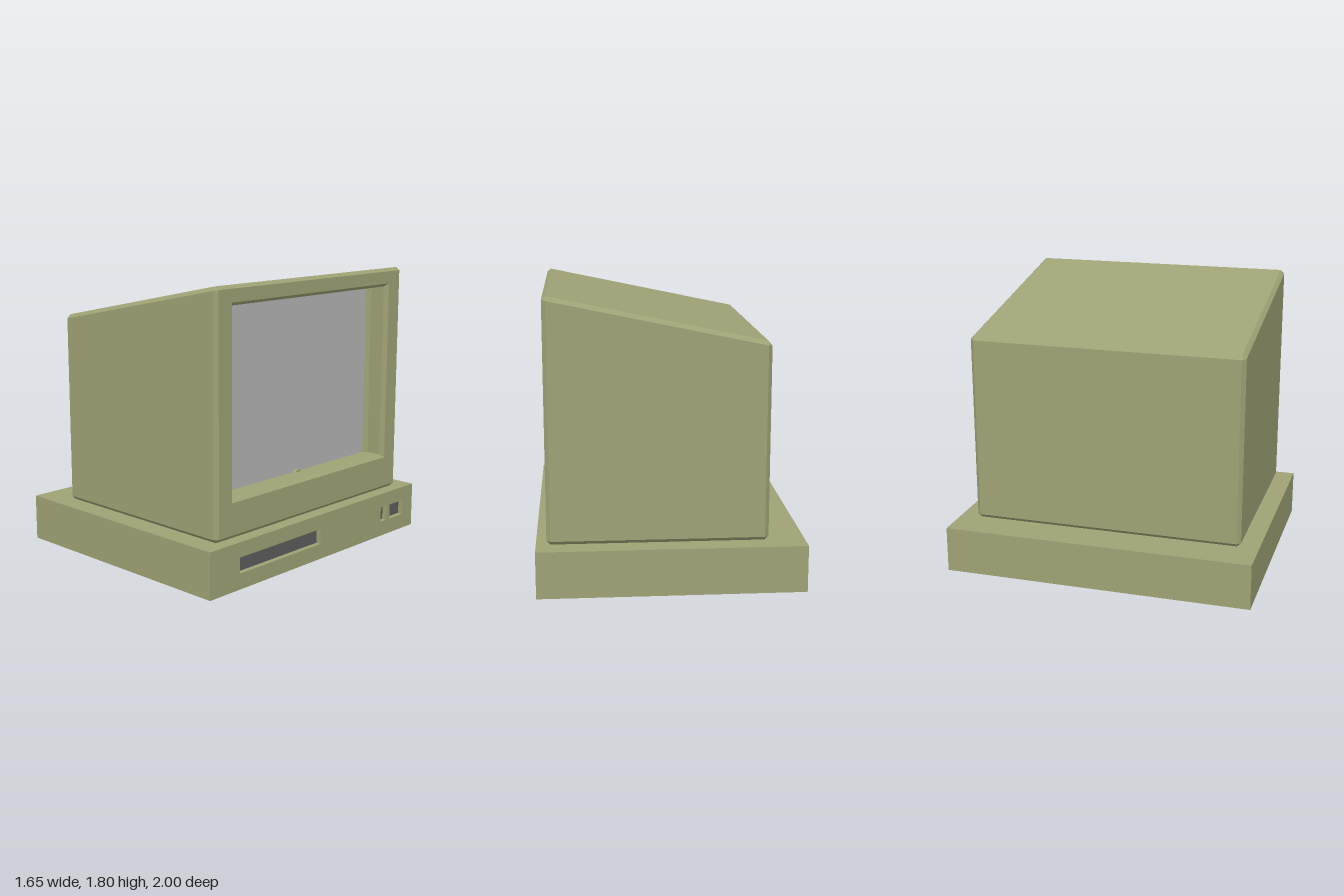
import * as THREE from 'three';
import { ConvexGeometry } from 'three/addons/geometries/ConvexGeometry.js';

const casing = new THREE.MeshStandardMaterial({ name: 'olive casing', color: 0x9fa275 });
const glass = new THREE.MeshStandardMaterial({ name: 'grey screen', color: 0xb3b3b3 });
const dark = new THREE.MeshStandardMaterial({ name: 'dark slot', color: 0x5d5d5d });

// Corners of a rectangle, counter-clockwise
const rect = (x0, x1, y0, y1) => [[x0, y0], [x1, y0], [x1, y1], [x0, y1]].map(p => new THREE.Vector2(...p));

function add(parent, name, geometry, material) {
  const mesh = new THREE.Mesh(geometry, material);
  mesh.name = name;
  parent.add(mesh);
  return mesh;
}

// Wedge with chamfered edges, left open on the +x face for the bezel
function shellGeometry(profile, halfZ, c) {
  const points = [];
  profile.forEach((p, i) => {
    const n = profile.length;
    const d1 = profile[(i + n - 1) % n].clone().sub(p).setLength(c);
    const d2 = profile[(i + 1) % n].clone().sub(p).setLength(c);
    for (const s of [-1, 1]) {
      points.push(new THREE.Vector3(p.x + d1.x, p.y + d1.y, s * (halfZ - c)));
      points.push(new THREE.Vector3(p.x + d2.x, p.y + d2.y, s * (halfZ - c)));
      points.push(new THREE.Vector3(p.x + d1.x + d2.x, p.y + d1.y + d2.y, s * halfZ));
    }
  });
  const hull = new ConvexGeometry(points);
  const pos = hull.attributes.position, nor = hull.attributes.normal, kept = [];
  for (let i = 0; i < pos.count; i += 3) {
    if (nor.getX(i) > 0.99) continue;
    for (let k = i; k < i + 3; k++) kept.push(pos.getX(k), pos.getY(k), pos.getZ(k));
  }
  const g = new THREE.BufferGeometry();
  g.setAttribute('position', new THREE.Float32BufferAttribute(kept, 3));
  g.computeVertexNormals();
  return g;
}

// Stepped walls running back from the bezel opening: steps are [depth, side inset, top and bottom inset]
function recessGeometry(x, y0, y1, steps) {
  const rings = steps.map(([z, ix, iy]) =>
    rect(-x + ix, x - ix, y0 + iy, y1 - iy).map(p => [p.x, p.y, z]));
  const v = [];
  for (let r = 0; r < rings.length - 1; r++) {
    for (let i = 0; i < 4; i++) {
      const j = (i + 1) % 4, a = rings[r], b = rings[r + 1];
      v.push(...a[i], ...a[j], ...b[j], ...a[i], ...b[j], ...b[i]);
    }
  }
  const g = new THREE.BufferGeometry();
  g.setAttribute('position', new THREE.Float32BufferAttribute(v, 3));
  g.computeVertexNormals();
  return g;
}

export function createModel() {
  const model = new THREE.Group();
  model.name = 'desktopComputer';

  // Parts on the screen side are drawn facing +z, then turned to face +x
  const screenSide = new THREE.Group();
  screenSide.name = 'screenSide';
  screenSide.rotation.y = Math.PI / 2;
  model.add(screenSide);

  // Monitor casing with a sloping top
  const profile = [[-0.6, 0.295], [0.76, 0.295], [0.76, 1.81], [-0.6, 1.525]].map(p => new THREE.Vector2(...p));
  add(model, 'monitorCasing', shellGeometry(profile, 0.885, 0.025), casing);

  // Bezel, recess and screen
  const bezel = new THREE.Shape(rect(-0.86, 0.86, 0.32, 1.785));
  bezel.holes.push(new THREE.Path(rect(-0.75, 0.75, 0.52, 1.705)));
  add(screenSide, 'bezel', new THREE.ShapeGeometry(bezel), casing).position.z = 0.76;
  const steps = [[0.76, 0, 0], [0.735, 0.025, 0.02], [0.635, 0.025, 0.02], [0.61, 0.05, 0.02]];
  add(screenSide, 'screenRecess', recessGeometry(0.75, 0.52, 1.705, steps), casing);
  add(screenSide, 'screen', new THREE.PlaneGeometry(1.4, 1.145), glass).position.set(0, 1.1125, 0.61);

  // Small nubs at the middle of the top and bottom screen edges
  for (const [y, s] of [[0.54, 1], [1.685, -1]]) {
    const nub = new THREE.Shape([[-0.03 * s, 0], [0.03 * s, 0], [0, 0.02 * s]].map(p => new THREE.Vector2(...p)));
    const geometry = new THREE.ExtrudeGeometry(nub, { depth: 0.02, bevelEnabled: false });
    add(screenSide, 'screenNub', geometry, casing).position.set(0, y, 0.61);
  }

  // Base unit: solid box with a slotted front panel
  const h = 0.295, panel = 0.04;
  add(model, 'base', new THREE.BoxGeometry(1.65 - panel, h, 2), casing).position.set(-panel / 2, h / 2, 0);
  const front = new THREE.Shape(rect(-1, 1, 0, h));
  for (const [a, b] of [[-0.75, 0], [0.64, 0.705], [0.74, 0.89]]) {
    front.holes.push(new THREE.Path(rect(a, b, 0.1, 0.2)));
    add(screenSide, 'slotBack', new THREE.BoxGeometry(b - a, 0.1, 0.006), dark)
      .position.set((a + b) / 2, 0.15, 0.825 - panel + 0.003);
  }
  add(screenSide, 'basePanel', new THREE.ExtrudeGeometry(front, { depth: panel, bevelEnabled: false }), casing)
    .position.z = 0.825 - panel;

  return model;
}
